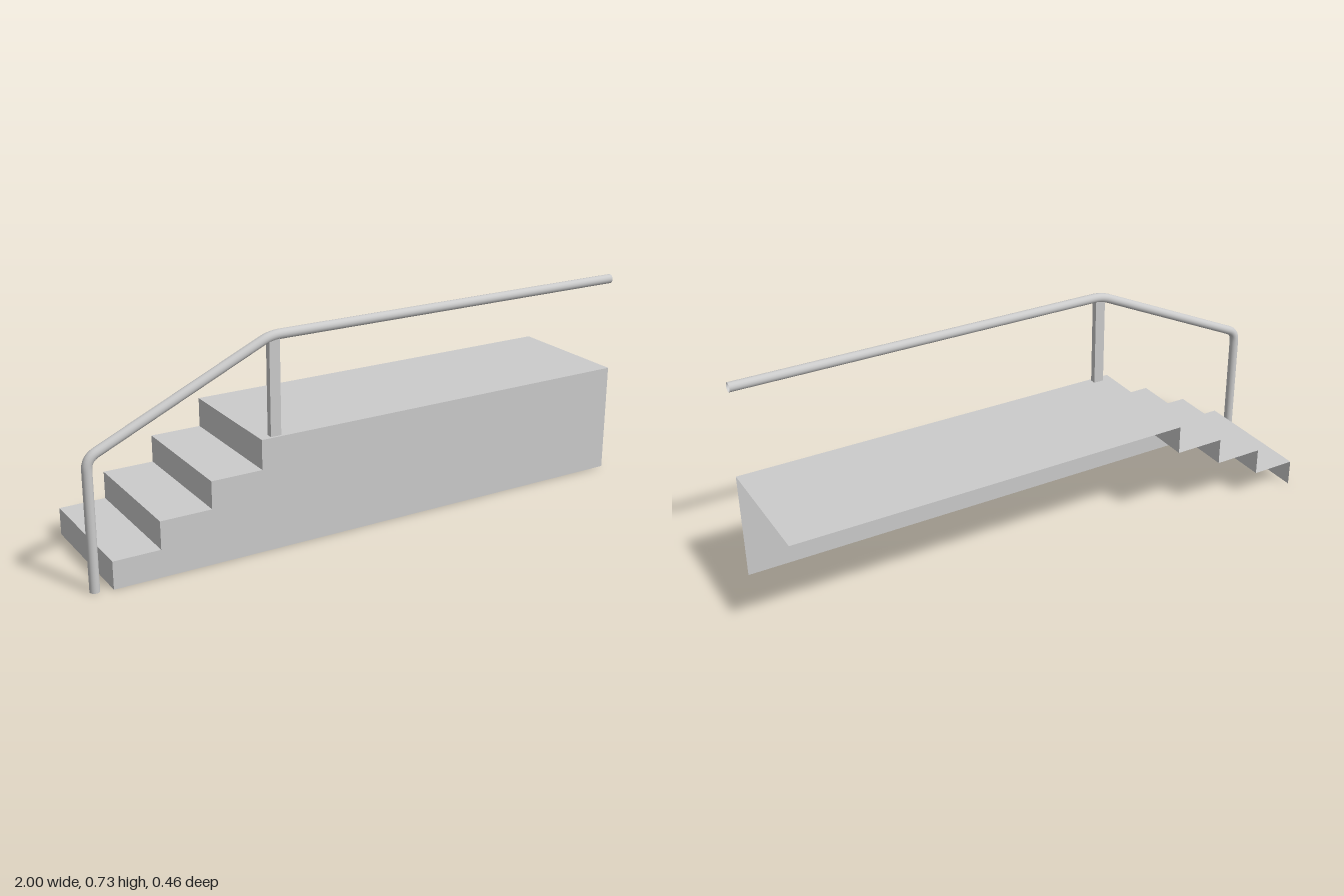
import * as THREE from 'three';

const grey = new THREE.MeshStandardMaterial({ color: 0xcccccc, side: THREE.DoubleSide });
const DEPTH = 0.46;
// Stair outline: x of each riser and y of the tread that follows it
const steps = [[-0.93, 0.094], [-0.77, 0.189], [-0.594, 0.283], [-0.416, 0.384]];
const END = 1;

function add(group, name, geometry, x = 0, y = 0, z = 0) {
  const mesh = new THREE.Mesh(geometry, grey);
  mesh.name = name;
  mesh.position.set(x, y, z);
  group.add(mesh);
  return mesh;
}

// Path of straight runs joined by small curved bends
function bentPath(points, bend) {
  const path = new THREE.CurvePath();
  let from = points[0];
  for (let i = 1; i < points.length - 1; i++) {
    const p = points[i];
    const toward = (q) => p.clone().add(q.clone().sub(p).setLength(bend));
    const a = toward(points[i - 1]), b = toward(points[i + 1]);
    path.add(new THREE.LineCurve3(from, a));
    path.add(new THREE.QuadraticBezierCurve3(a, p, b));
    from = b;
  }
  path.add(new THREE.LineCurve3(from, points[points.length - 1]));
  return path;
}

export function createModel() {
  const model = new THREE.Group();
  model.name = 'stairsWithHandrail';

  // Risers and treads as thin sheets; the last tread is the long deck
  const stairs = new THREE.Group();
  stairs.name = 'stairs';
  model.add(stairs);
  steps.forEach(([x, y], i) => {
    const below = i ? steps[i - 1][1] : 0;
    const last = i === steps.length - 1;
    const next = last ? END : steps[i + 1][0];
    add(stairs, `riser${i + 1}`,
      new THREE.PlaneGeometry(DEPTH, y - below).rotateY(-Math.PI / 2), x, (y + below) / 2, 0);
    add(stairs, last ? 'deck' : `tread${i + 1}`,
      new THREE.PlaneGeometry(next - x, DEPTH).rotateX(-Math.PI / 2), (x + next) / 2, y, 0);
  });

  // Stepped wall closing the front only
  const outline = new THREE.Shape();
  outline.moveTo(END, 0);
  outline.lineTo(END, steps[3][1]);
  for (let i = steps.length - 1; i >= 0; i--) {
    outline.lineTo(steps[i][0], steps[i][1]);
    outline.lineTo(steps[i][0], i ? steps[i - 1][1] : 0);
  }
  add(model, 'sideWall', new THREE.ShapeGeometry(outline), 0, 0, DEPTH / 2);

  // Bent, open-ended handrail tube
  const railZ = 0.211;
  const rail = bentPath(
    [[-0.984, 0], [-0.984, 0.431], [-0.37, 0.713], [0.995, 0.713]]
      .map(([x, y]) => new THREE.Vector3(x, y, railZ)), 0.035);
  add(model, 'handrail', new THREE.TubeGeometry(rail, 240, 0.0162, 16, false));

  // Square post passing slightly through the deck
  add(model, 'railPost', new THREE.BoxGeometry(0.037, 0.35, 0.022), -0.361, 0.527, railZ);

  return model;
}
